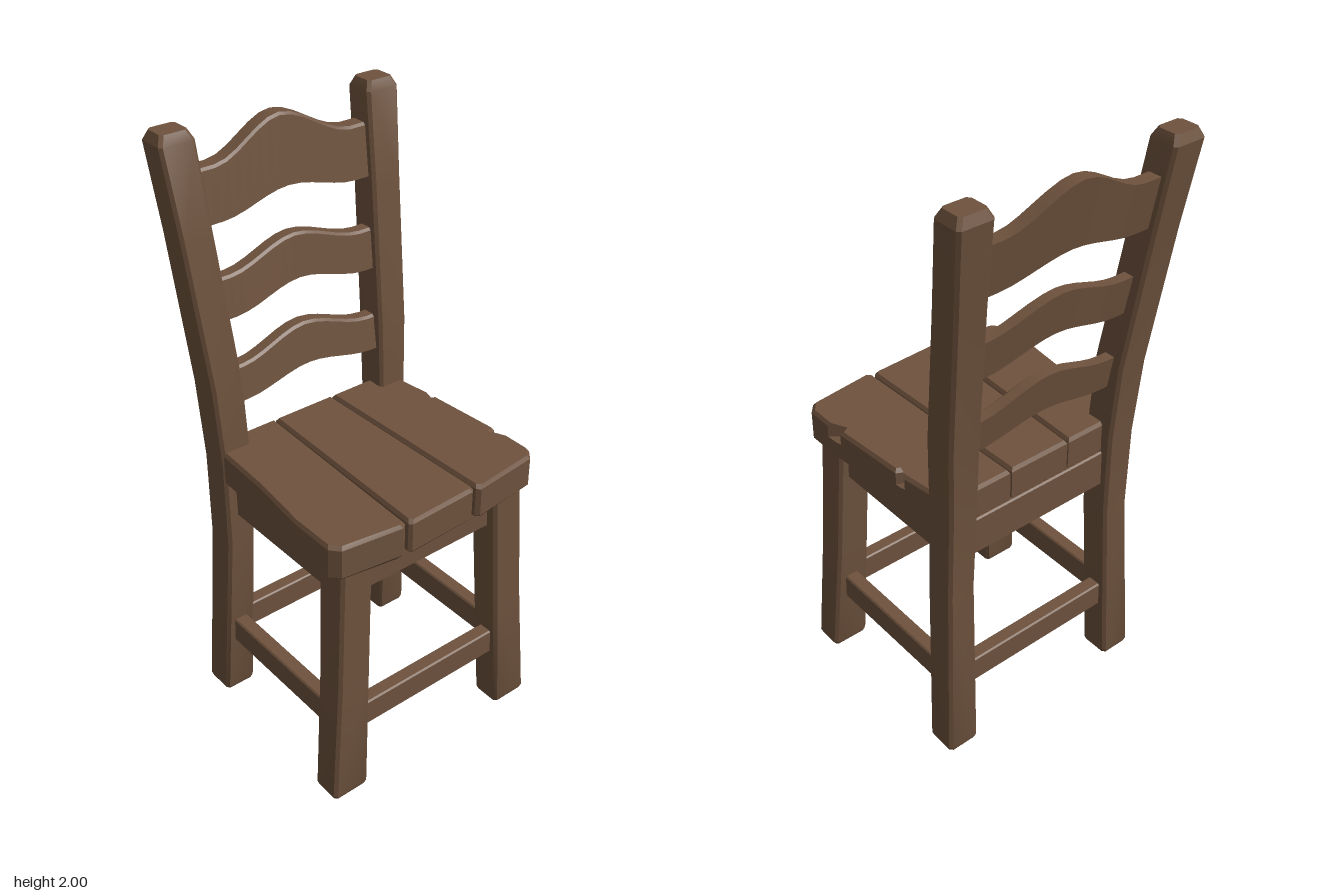
import * as THREE from 'three';
import { toCreasedNormals } from 'three/addons/utils/BufferGeometryUtils.js';

const wood = new THREE.MeshStandardMaterial({ color: 0x6e523d });
wood.name = 'brown wood';

// Skin a list of equal-length point rings and cap both ends
function loft(name, rings) {
  const tris = [];
  const n = rings[0].length;
  const V = (p) => new THREE.Vector3(...p);
  const R = rings.map((r) => r.map(V));
  for (let i = 0; i < R.length - 1; i++) {
    for (let j = 0; j < n; j++) {
      const k = (j + 1) % n;
      const a = R[i][j], b = R[i][k], c = R[i + 1][k], d = R[i + 1][j];
      tris.push([a, b, c], [a, c, d]);
    }
  }
  const cap = (ring, flip) => {
    const mid = ring.reduce((s, p) => s.add(p), new THREE.Vector3()).divideScalar(n);
    for (let j = 0; j < n; j++) {
      const a = ring[j], b = ring[(j + 1) % n];
      tris.push(flip ? [mid, b, a] : [mid, a, b]);
    }
  };
  cap(R[0], true);
  cap(R[R.length - 1], false);
  // Signed volume tells whether the faces point outward
  const volume = tris.reduce((s, [a, b, c]) => s + a.dot(b.clone().cross(c)), 0);
  const pos = [];
  for (const [a, b, c] of tris) {
    for (const p of volume > 0 ? [a, b, c] : [a, c, b]) pos.push(p.x, p.y, p.z);
  }
  const geo = new THREE.BufferGeometry();
  geo.setAttribute('position', new THREE.Float32BufferAttribute(pos, 3));
  const mesh = new THREE.Mesh(toCreasedNormals(geo, 0.45), wood);
  mesh.name = name;
  return mesh;
}

// Rectangle with cut corners, as [u, v] pairs
function cutRect(u0, u1, v0, v1, c) {
  return [
    [u0 + c, v0], [u1 - c, v0], [u1, v0 + c], [u1, v1 - c],
    [u1 - c, v1], [u0 + c, v1], [u0, v1 - c], [u0, v0 + c],
  ];
}

// Upright post from levels [y, xInner, xOuter, zBack, zFront]
function post(name, side, levels) {
  return loft(name, levels.map(([y, x0, x1, z0, z1]) =>
    cutRect(x0, x1, z0, z1, 0.01).map(([x, z]) => [side * x, y, z])));
}

// Straight rail along x or z
function rail(name, axis, from, to, v0, v1, y0, y1) {
  const ring = cutRect(v0, v1, y0, y1, 0.005);
  return loft(name, [from, to].map((t) =>
    ring.map(([v, y]) => (axis === 'x' ? [t, y, v] : [v, y, t]))));
}

// Seat board: an outline in x,z; chips only cut the upper part
function plank(name, outline, chips = {}) {
  const whole = outline.map(([x, z], i) => [chips[i] ?? x, z]);
  const cx = outline.reduce((s, p) => s + p[0], 0) / outline.length;
  const ring = (pts, y, inset) => pts.map(([x, z]) =>
    [x - Math.sign(x - cx) * inset, y, z - Math.sign(z) * inset]);
  return loft(name, [
    ring(whole, 0.875, 0.012), ring(whole, 0.89, 0), ring(whole, 0.945, 0),
    ring(outline, 0.95, 0), ring(outline, 0.988, 0), ring(outline, 1.0, 0.008),
  ]);
}

// Arched back slat, leaning and bowed towards the rear
function slat(name, low, lowRise, high, highRise, zFront, depth, bow) {
  const rings = [];
  for (let i = 0; i <= 16; i++) {
    const x = -0.33 + (0.66 * i) / 16;
    const t = Math.max(0, 1 - Math.abs(x) / 0.25);
    const arch = t * t * (3 - 2 * t);
    const y0 = low + lowRise * arch;
    const y1 = high + highRise * arch;
    const lean = 0.16 * (y1 - y0);
    const z = zFront - bow * arch;
    rings.push([
      [x, y0, z], [x, y1 - 0.008, z - lean], [x, y1, z - lean - 0.008],
      [x, y1, z - lean - depth], [x, y0, z - depth],
    ]);
  }
  return loft(name, rings);
}

export function createModel() {
  const chair = new THREE.Group();
  chair.name = 'chair';

  // Legs and back posts
  for (const side of [1, -1]) {
    const label = side > 0 ? 'left' : 'right';
    chair.add(post(label + 'FrontLeg', side, [
      [0, 0.29, 0.415, 0.315, 0.41],
      [0.015, 0.285, 0.42, 0.31, 0.415],
      [0.45, 0.265, 0.385, 0.29, 0.40],
      [0.89, 0.245, 0.36, 0.27, 0.385],
    ]));
    chair.add(post(label + 'BackPost', side, [
      [0, 0.295, 0.4, -0.325, -0.225],
      [0.015, 0.29, 0.405, -0.33, -0.22],
      [0.65, 0.275, 0.375, -0.302, -0.19],
      [0.95, 0.267, 0.372, -0.31, -0.197],
      [1.22, 0.272, 0.383, -0.328, -0.213],
      [1.7, 0.298, 0.41, -0.392, -0.285],
      [1.97, 0.31, 0.43, -0.432, -0.328],
      [2.0, 0.325, 0.415, -0.42, -0.343],
    ]));
  }

  // Seat boards
  chair.add(plank('rightSeatPlank', [
    [-0.365, -0.27], [-0.368, -0.2], [-0.378, 0], [-0.402, 0.22], [-0.402, 0.37],
    [-0.375, 0.4], [-0.17, 0.427], [-0.153, 0.415], [-0.125, -0.27],
  ]));
  chair.add(plank('middleSeatPlank', [
    [-0.12, -0.27], [-0.145, 0.42], [-0.135, 0.43], [0.11, 0.42],
    [0.12, 0.41], [0.106, -0.27],
  ]));
  chair.add(plank('leftSeatPlank', [
    [0.112, -0.27], [0.127, 0.415], [0.14, 0.427], [0.37, 0.402], [0.397, 0.37],
    [0.397, 0.28], [0.352, 0.235], [0.394, 0.215], [0.377, -0.05],
    [0.337, -0.07], [0.374, -0.09], [0.36, -0.2], [0.36, -0.27],
  ], { 6: 0.395, 9: 0.3755 }));

  // Apron under the seat
  chair.add(rail('frontApron', 'x', -0.3, 0.3, 0.3, 0.35, 0.75, 0.885));
  chair.add(rail('backApron', 'x', -0.32, 0.32, -0.275, -0.225, 0.75, 0.885));

  // Stretchers between the legs
  chair.add(rail('frontStretcher', 'x', -0.33, 0.33, 0.33, 0.38, 0.22, 0.315));
  chair.add(rail('backStretcher', 'x', -0.33, 0.33, -0.29, -0.24, 0.22, 0.315));
  for (const side of [1, -1]) {
    const label = side > 0 ? 'left' : 'right';
    const [a, b] = side > 0 ? [0.285, 0.335] : [-0.335, -0.285];
    const [c, d] = side > 0 ? [0.315, 0.365] : [-0.365, -0.315];
    chair.add(rail(label + 'Apron', 'z', -0.24, 0.32, a, b, 0.75, 0.885));
    chair.add(rail(label + 'Stretcher', 'z', -0.26, 0.34, c, d, 0.22, 0.315));
  }

  // Back slats
  chair.add(slat('lowerSlat', 1.14, 0.04, 1.255, 0.06, -0.232, 0.045, 0.008));
  chair.add(slat('middleSlat', 1.415, 0.05, 1.545, 0.06, -0.268, 0.045, 0.012));
  chair.add(slat('topSlat', 1.71, 0.045, 1.875, 0.095, -0.312, 0.055, 0.012));

  return chair;
}
